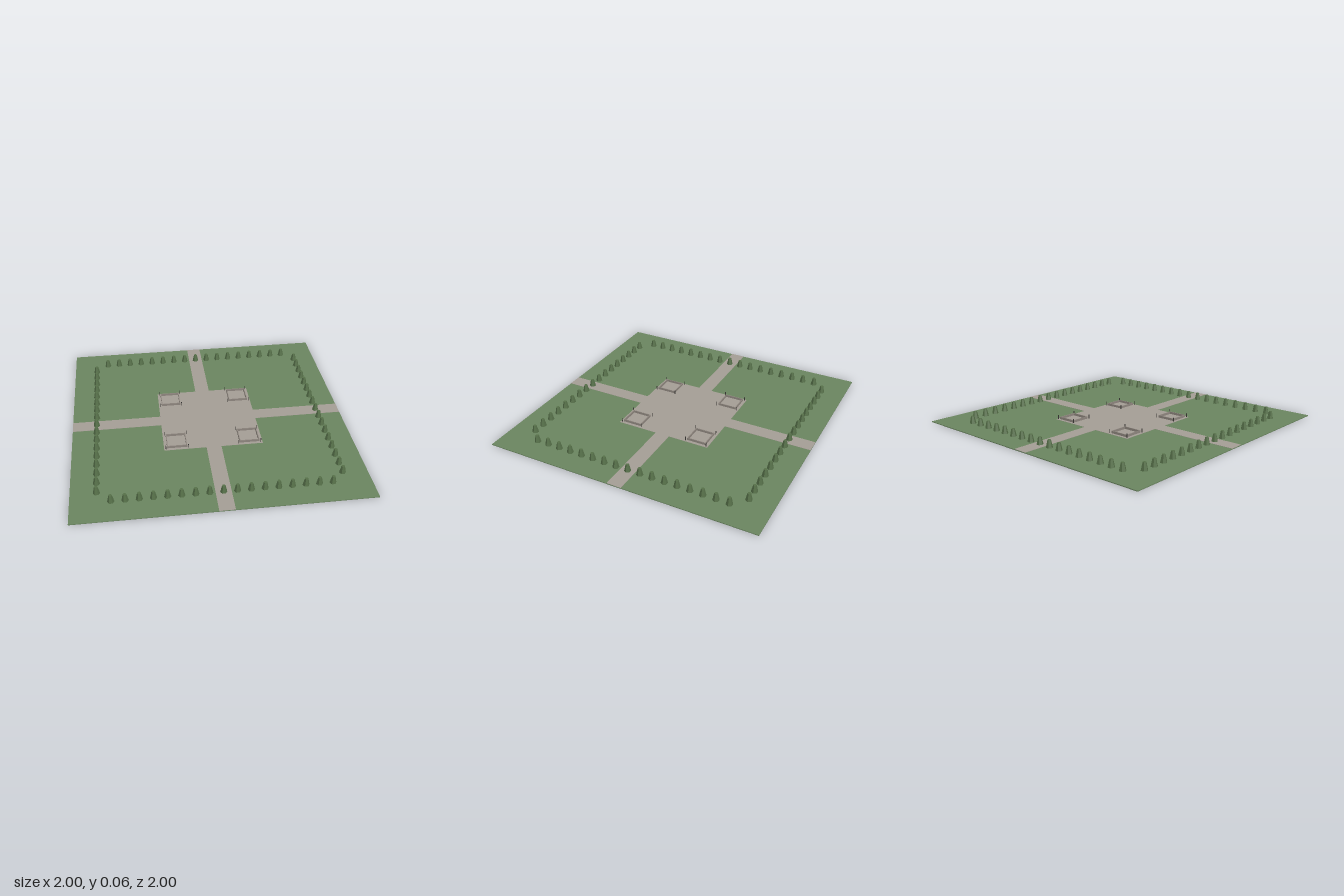
import * as THREE from 'three';

const mat = (name, color, extra = {}) => {
  const m = new THREE.MeshStandardMaterial({ color, ...extra });
  m.name = name;
  return m;
};

export function createModel() {
  const park = new THREE.Group();
  park.name = 'parkSquare';

  const grass = mat('grass green', 0x6b8660);
  const paving = mat('paving stone', 0xa59e96);
  const stone = mat('wall stone', 0x8f877f);
  const foliage = mat('foliage green', 0x567049, { flatShading: true });
  const iron = mat('post iron', 0x3a3835);

  const box = (name, material, w, h, d, x, y, z, parent = park) => {
    const mesh = new THREE.Mesh(new THREE.BoxGeometry(w, h, d), material);
    mesh.name = name;
    mesh.position.set(x, y + h / 2, z); // y is the underside
    parent.add(mesh);
    return mesh;
  };

  // Lawn slab
  const top = 0.006;
  box('lawn', grass, 2, top, 2, 0, 0, 0);

  // Paved plaza and the four paths running out to the edges
  const plaza = 0.353, path = 0.107, pave = 0.0015;
  box('plaza', paving, plaza * 2, pave, plaza * 2, 0, top, 0);
  const run = 1 - plaza, mid = (1 + plaza) / 2;
  for (const s of [-1, 1]) {
    box('pathAcross', paving, run, pave, path, s * mid, top, 0);
    box('pathAlong', paving, path, pave, run, 0, top, s * mid);
  }

  // Four walled enclosures with slim corner posts
  const size = 0.143, wall = 0.006, wallH = 0.017, floor = top + pave;
  for (const sx of [-1, 1]) for (const sz of [-1, 1]) {
    const court = new THREE.Group();
    court.name = 'walledCourt';
    court.position.set(sx * 0.26, floor, sz * 0.26);
    const off = (size - wall) / 2;
    for (const s of [-1, 1]) {
      box('courtWall', stone, size, wallH, wall, 0, 0, s * off, court);
      box('courtSideWall', stone, wall, wallH, size - wall * 2, s * off, 0, 0, court);
      for (const t of [-1, 1]) {
        box('cornerPost', iron, 0.004, 0.03, 0.004, s * 0.08, 0, t * 0.08, court);
      }
    }
    park.add(court);
  }

  // Clipped six-sided trees in a row along each side
  const treeH = 0.054;
  const treeGeo = new THREE.CylinderGeometry(0.012, 0.024, treeH, 6);
  treeGeo.rotateY(Math.PI / 6);
  const plant = (x, z) => {
    const tree = new THREE.Mesh(treeGeo, foliage);
    tree.name = 'tree';
    tree.position.set(x, top + treeH / 2, z);
    park.add(tree);
  };
  const step = 0.0917, edge = step * 9;
  for (let i = -8; i <= 8; i++) {
    for (const s of [-1, 1]) {
      plant(i * step, s * edge);
      plant(s * edge, i * step);
    }
  }
  return park;
}
